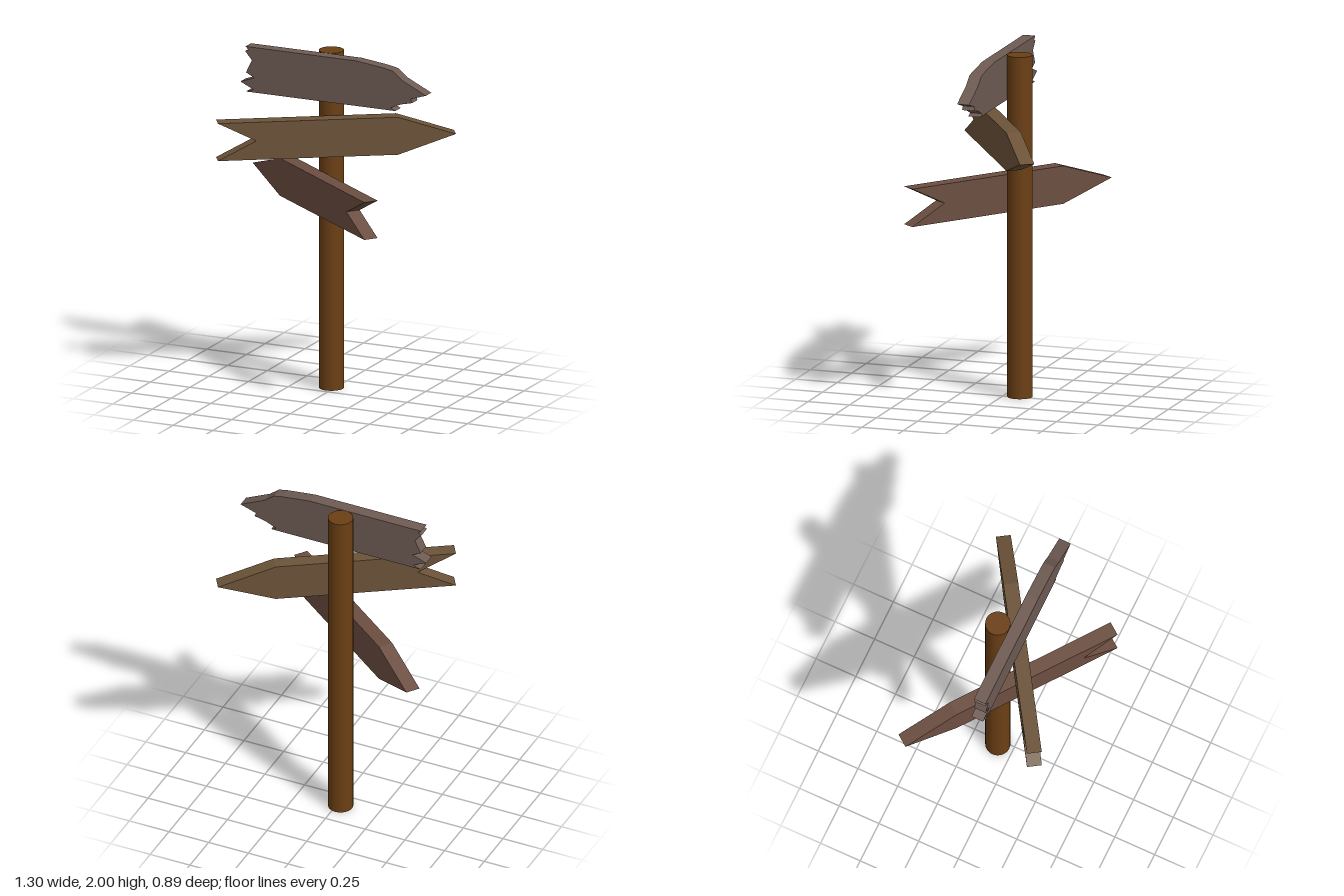
import * as THREE from 'three';

// Flat plank cut from an outline, centred on its own thickness
function makePlank(name, points, thickness, color) {
  const shape = new THREE.Shape(points.map(([x, y]) => new THREE.Vector2(x, y)));
  const geometry = new THREE.ExtrudeGeometry(shape, { depth: thickness, bevelEnabled: false });
  geometry.translate(0, 0, -thickness / 2);
  const mesh = new THREE.Mesh(geometry, new THREE.MeshStandardMaterial({ color }));
  mesh.name = name;
  return mesh;
}

// Arrow outline pointing along +x, with a V notch in the tail
function arrowOutline(length, height, head, notch) {
  const l = length / 2, h = height / 2;
  return [[-l, -h], [l - head, -h], [l, 0], [l - head, h], [-l, h], [-l + notch, 0]];
}

export function createModel() {
  const model = new THREE.Group();
  model.name = 'signpost';

  // Round post
  const post = new THREE.Mesh(
    new THREE.CylinderGeometry(0.072, 0.072, 2, 32),
    new THREE.MeshStandardMaterial({ color: 0x6b3f14 })
  );
  post.name = 'post';
  post.position.set(-0.022, 1, -0.095);
  model.add(post);

  // Two arrow boards, turned different ways
  const arrows = [
    { name: 'middleArrowBoard', color: 0x6c5339, at: [0.053, 1.523, 0.002], turn: 0.571 },
    { name: 'lowerArrowBoard', color: 0x6c4e41, at: [-0.081, 1.18, -0.003], turn: Math.PI - 0.643 }
  ];
  for (const { name, color, at, turn } of arrows) {
    const board = makePlank(name, arrowOutline(1.367, 0.222, 0.333, 0.22), 0.085, color);
    board.position.set(...at);
    board.rotation.y = turn;
    model.add(board);
  }

  // Weathered top board with splintered ends
  const worn = [
    [-0.495, 2], [-0.476, 1.983], [-0.497, 1.972], [-0.455, 1.923], [-0.492, 1.846],
    [-0.439, 1.82], [-0.527, 1.788], [-0.444, 1.75], [-0.492, 1.733],
    [0.45, 1.733], [0.418, 1.747], [0.487, 1.777], [0.556, 1.793], [0.545, 1.815],
    [0.643, 1.847], [0.492, 1.92], [0.434, 1.967], [0.376, 1.979], [0.206, 2]
  ];
  const top = makePlank('weatheredTopBoard', worn, 0.072, 0x6e5b53);
  top.position.z = 0.014;
  model.add(top);

  return model;
}
